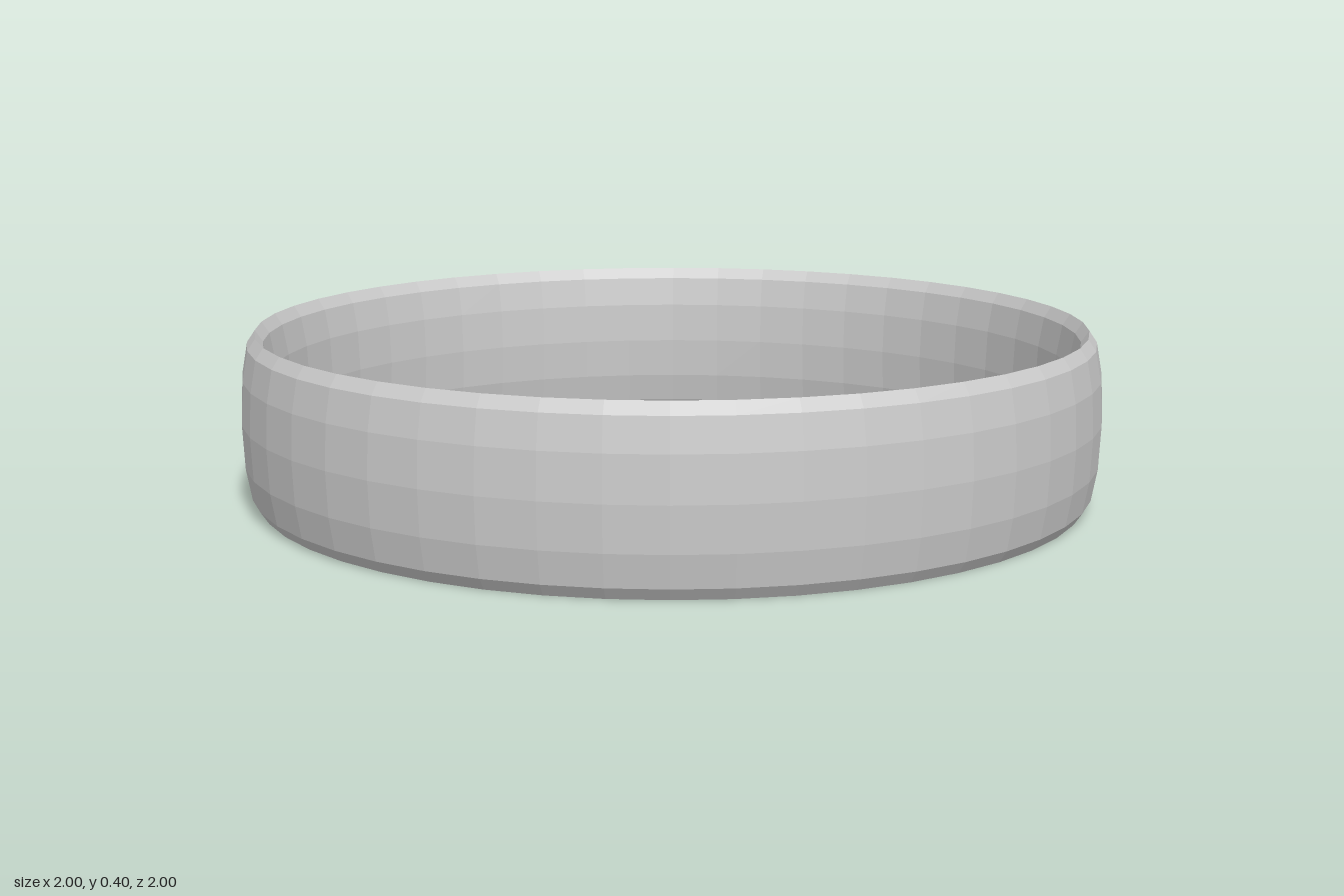
import * as THREE from 'three';

export function createModel() {
  const group = new THREE.Group();
  group.name = 'bangle';

  const tube = 0.036;       // half the wall thickness
  const halfHeight = 0.198;

  // Low-poly ring, laid flat and stretched upwards into a tall oval section
  const geometry = new THREE.TorusGeometry(1 - tube, tube, 12, 48);
  geometry.rotateX(-Math.PI / 2);
  geometry.scale(1, halfHeight / tube, 1);
  geometry.translate(0, halfHeight, 0);

  const material = new THREE.MeshStandardMaterial({ color: 0xcccccc, flatShading: true });
  const band = new THREE.Mesh(geometry, material);
  band.name = 'band';
  group.add(band);
  return group;
}
